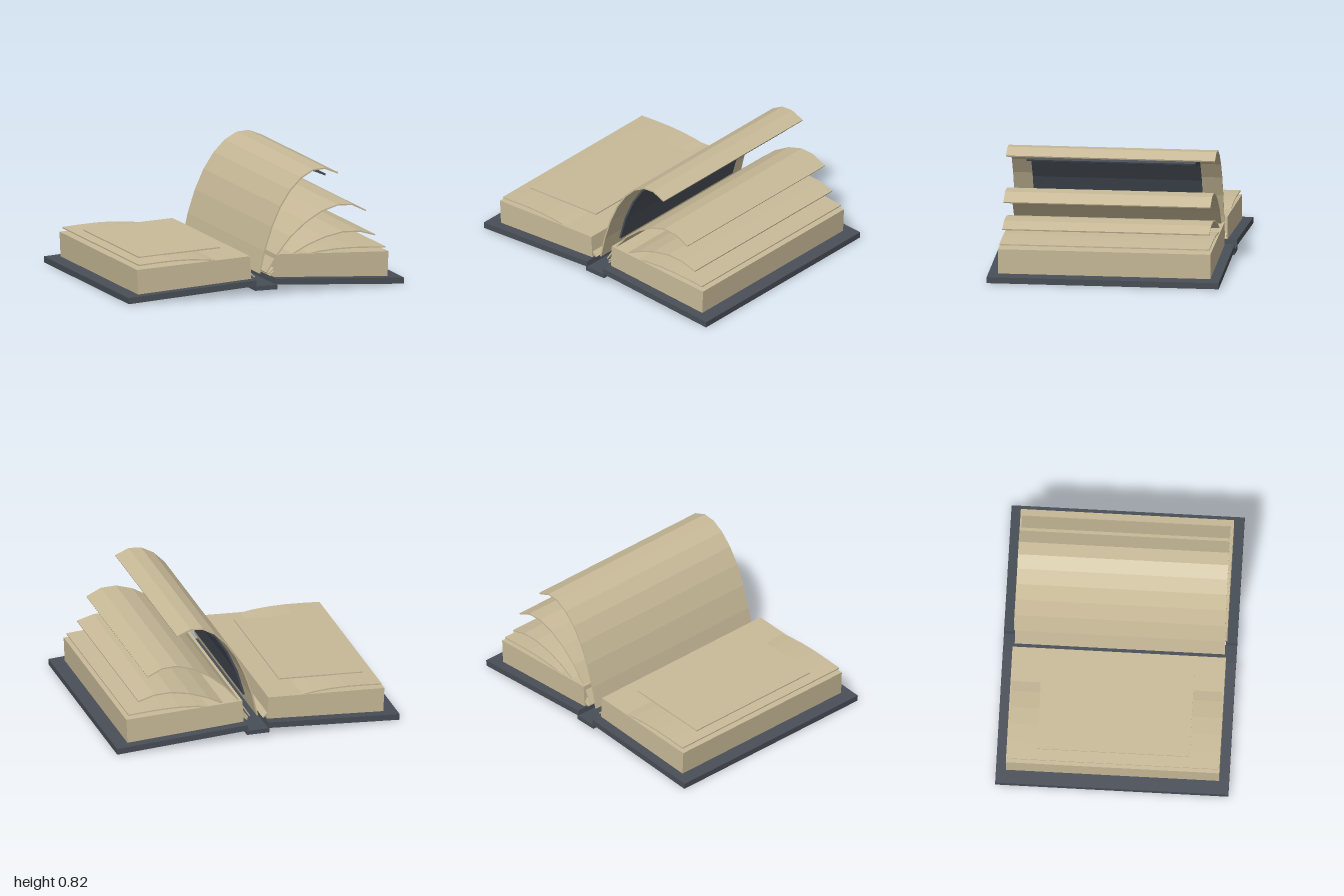
import * as THREE from 'three';

const paper = new THREE.MeshStandardMaterial({ color: 0xc8ba98 });
paper.name = 'paper';
const slate = new THREE.MeshStandardMaterial({ color: 0x484e57 });
slate.name = 'slate';

// Extrude an outline in x, y along z, centred on z = 0
function prism(name, points, halfDepth, material) {
  const shape = new THREE.Shape(points.map(([x, y]) => new THREE.Vector2(x, y)));
  const geometry = new THREE.ExtrudeGeometry(shape, { depth: 2 * halfDepth, bevelEnabled: false });
  geometry.translate(0, 0, -halfDepth);
  const mesh = new THREE.Mesh(geometry, material);
  mesh.name = name;
  return mesh;
}

// Thin bent sheet: offset the curve to both sides along its normals
function sheet(name, points, halfDepth, thickness, material) {
  const upper = [], lower = [];
  points.forEach(([x, y], i) => {
    const a = points[Math.max(i - 1, 0)];
    const b = points[Math.min(i + 1, points.length - 1)];
    const dx = b[0] - a[0], dy = b[1] - a[1];
    const s = thickness / 2 / Math.hypot(dx, dy);
    upper.push([x - dy * s, y + dx * s]);
    lower.push([x + dy * s, y - dx * s]);
  });
  return prism(name, [...upper, ...lower.reverse()], halfDepth, material);
}

export function createModel() {
  const book = new THREE.Group();
  book.name = 'openBook';

  // Spine
  book.add(prism('spine', [[-0.08, 0.03], [0.08, 0.03], [0.08, 0.06], [-0.08, 0.06]], 0.79, slate));

  // Cover boards, page blocks and resting pages, mirrored
  const cover = [[0.07, 0.062], [0.998, 0.003], [1, 0.045], [0.072, 0.102]];
  const block = [[0.083, 0.095], [0.905, 0.045], [0.913, 0.221], [0.092, 0.257]];
  const resting = [[0.055, 0.11], [0.1, 0.15], [0.18, 0.195], [0.29, 0.235], [0.41, 0.253],
    [0.53, 0.262], [0.65, 0.263], [0.78, 0.257], [0.895, 0.249]];
  for (const [side, s] of [['left', 1], ['right', -1]]) {
    const flip = pts => pts.map(([x, y]) => [x * s, y]);
    book.add(prism(side + 'Cover', flip(cover), 0.79, slate));
    book.add(prism(side + 'PageBlock', flip(block), 0.723, paper));
    book.add(sheet(side + 'RestingPage', flip(resting), 0.715, 0.009, paper));
  }

  // Loose leaf lying on the right pages
  book.add(sheet('looseLeaf', [[-0.82, 0.263], [-0.23, 0.289]], 0.517, 0.009, paper));

  // Turning pages, lowest to highest
  book.add(sheet('lowTurningPage', [[0.048, 0.12], [0.13, 0.193], [0.23, 0.25], [0.33, 0.302],
    [0.46, 0.349], [0.59, 0.374], [0.71, 0.37], [0.823, 0.337]], 0.705, 0.009, paper));
  book.add(sheet('middleTurningPage', [[0.035, 0.13], [0.115, 0.255], [0.21, 0.368], [0.32, 0.46],
    [0.435, 0.527], [0.55, 0.562], [0.655, 0.558], [0.756, 0.509]], 0.705, 0.009, paper));
  book.add(sheet('highTurningPage', [[-0.018, 0.13], [0.018, 0.285], [0.07, 0.445], [0.133, 0.582],
    [0.205, 0.69], [0.285, 0.77], [0.37, 0.817], [0.455, 0.823], [0.55, 0.784]], 0.712, 0.01, paper));

  // Dark plate under the highest page
  book.add(sheet('darkPlate', [[0.035, 0.233], [0.085, 0.408], [0.155, 0.563], [0.235, 0.683],
    [0.325, 0.764], [0.42, 0.789], [0.513, 0.75]], 0.575, 0.013, slate));

  return book;
}
